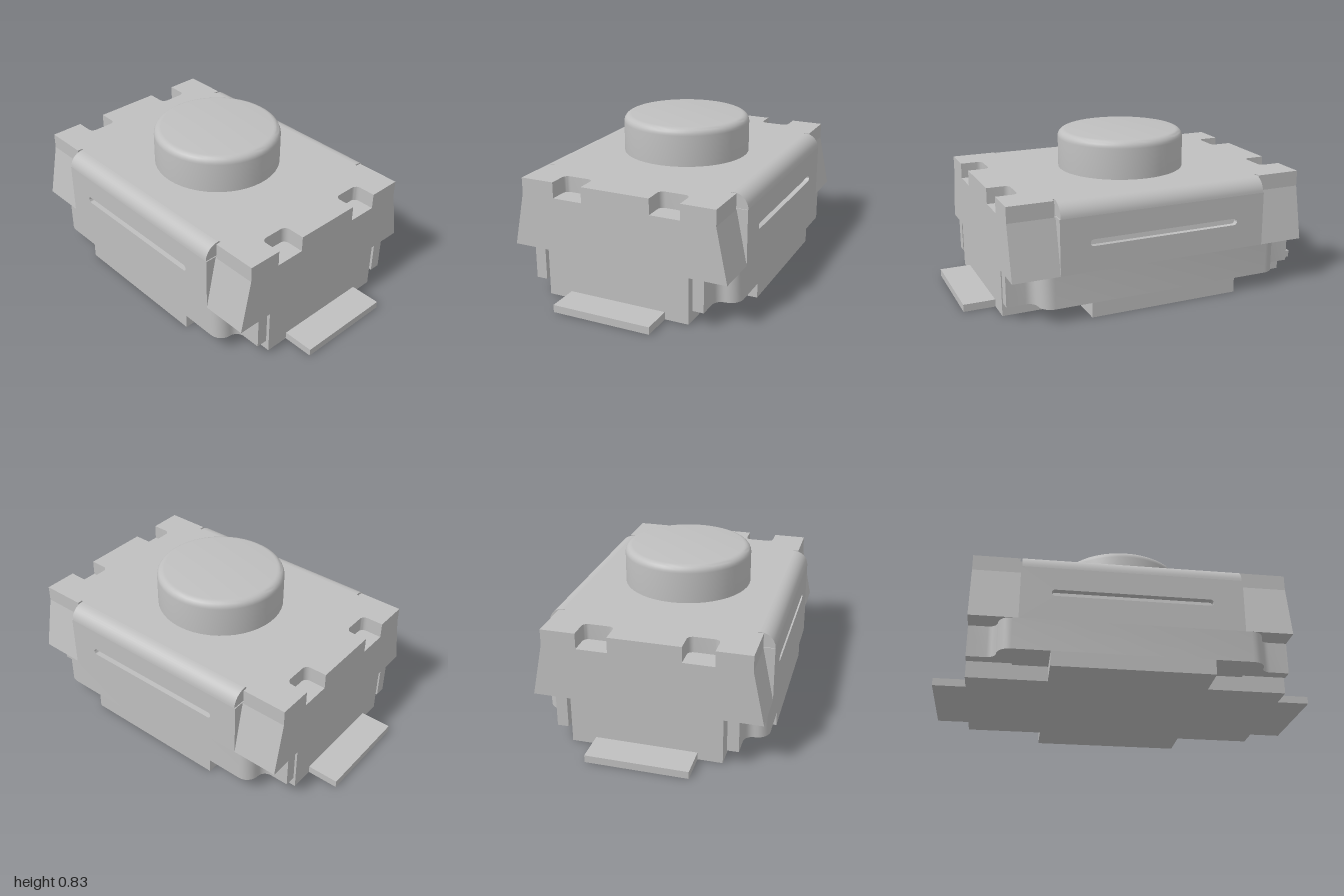
import * as THREE from 'three';
import { toCreasedNormals } from 'three/addons/utils/BufferGeometryUtils.js';

const grey = new THREE.MeshStandardMaterial({ color: 0xbfbfbf });
grey.name = 'plain grey';

// Points on an arc, angles in quarter turns
function arc(cx, cy, r, from, to, n = 6) {
  return Array.from({ length: n + 1 }, (_, i) => {
    const a = (from + (to - from) * i / n) * Math.PI / 2;
    return [cx + r * Math.cos(a), cy + r * Math.sin(a)];
  });
}
const mirrorX = pts => [...pts, ...pts.map(([x, y]) => [-x, y]).reverse()];
const mirrorY = pts => [...pts, ...pts.map(([x, y]) => [x, -y]).reverse()];
const toShape = pts => new THREE.Shape(pts.map(p => new THREE.Vector2(...p)));

function extrude(shape, depth) {
  return new THREE.ExtrudeGeometry(shape, { depth, bevelEnabled: false, curveSegments: 8 });
}
// Plan outline (x, z) raised from y0 to y1
function slab(pts, y0, y1) {
  return extrude(toShape(pts), y1 - y0).rotateX(Math.PI / 2).translate(0, y1, 0);
}
// Side profile (z, y) run along x, centred
function bar(pts, width) {
  return extrude(toShape(pts), width).rotateY(-Math.PI / 2).translate(width / 2, 0, 0);
}

export function createModel() {
  const model = new THREE.Group();
  model.name = 'pushSwitch';
  const add = (name, geo, turn = 0) => {
    const mesh = new THREE.Mesh(toCreasedNormals(geo, 0.6), grey);
    mesh.name = name;
    mesh.rotation.y = turn;
    model.add(mesh);
  };
  const box = (w, h, d, x, y, z) => new THREE.BoxGeometry(w, h, d).translate(x, y, z);

  // Base, with a wider foot in the middle
  add('base', box(1.66, 0.25, 0.8, 0, 0.125, 0));
  add('foot', box(0.83, 0.08, 1.2, 0, 0.04, 0));

  // Sloped housing that forms the corner wings
  add('housing', bar([[-0.6, 0.25], [0.6, 0.25], [0.54, 0.54], [-0.54, 0.54]], 1.66));

  // Cover plate with side notches and narrow relief slits
  const quarter = [
    [0.575, 0.52], [0.575, 0.51], [0.585, 0.51], [0.585, 0.54], [0.83, 0.54], [0.83, 0.355],
    ...arc(0.74, 0.325, 0.03, 1, 2), ...arc(0.74, 0.22, 0.03, 2, 3), [0.83, 0.19],
  ];
  add('coverPlate', slab(mirrorX(mirrorY(quarter)), 0.54, 0.625));

  // Front and back panels
  const panel = toShape([[-0.58, 0.25], [0.58, 0.25], [0.58, 0.545], [-0.58, 0.545]]);
  const slot = new THREE.Path();
  slot.absarc(-0.402, 0.403, 0.018, Math.PI / 2, Math.PI * 1.5);
  slot.absarc(0.402, 0.403, 0.018, -Math.PI / 2, Math.PI / 2);
  slot.closePath();
  panel.holes.push(slot);
  const roundedEdge = [[0.52, 0.545], ...arc(0.52, 0.545, 0.08, 0, 1, 10)];
  const clip = [
    [0.6, 0.39], [0.6, 0.42], [0.83, 0.42], [0.83, 0.48],
    ...arc(0.73, 0.53, 0.05, 3, 2), ...arc(0.61, 0.53, 0.07, 0, 1),
  ];
  for (const [side, turn] of [['front', 0], ['back', Math.PI]]) {
    add(side + 'Panel', extrude(panel, 0.07).translate(0, 0, 0.53), turn);
    add(side + 'RoundedEdge', bar(roundedEdge, 1.15), turn);
    add(side + 'Clips', slab(mirrorX(clip), 0.08, 0.25), turn);
  }

  // Solder terminals
  add('leftTerminal', box(0.17, 0.04, 0.54, 0.915, 0.02, 0));
  add('rightTerminal', box(0.17, 0.04, 0.54, -0.915, 0.02, 0));

  // Round button with a filleted rim
  const profile = [[0.35, 0.62], ...arc(0.31, 0.793, 0.04, 0, 1), [0, 0.833]];
  add('button', new THREE.LatheGeometry(profile.map(p => new THREE.Vector2(...p)), 48));

  return model;
}
